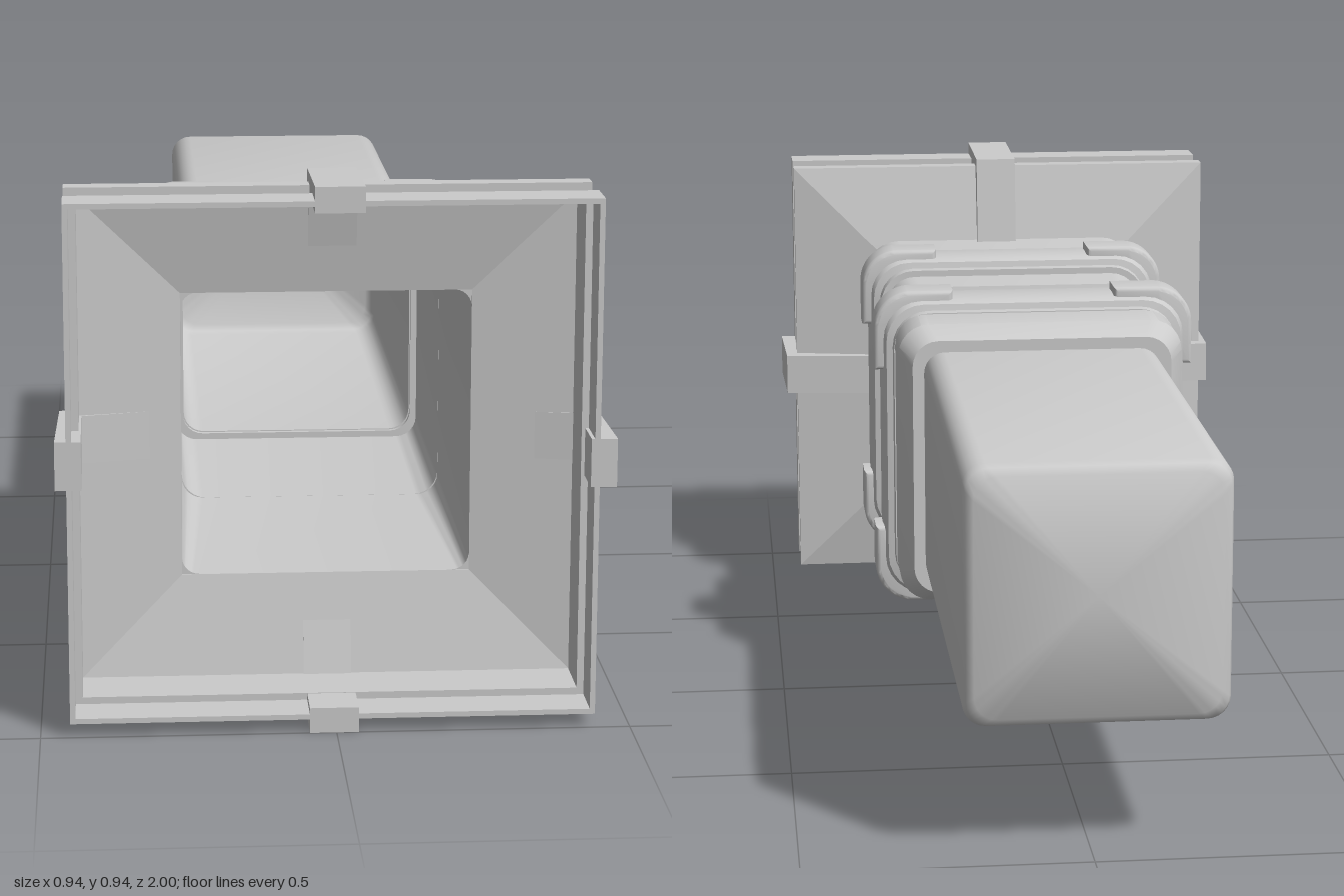
import * as THREE from 'three';
import { toCreasedNormals } from 'three/addons/utils/BufferGeometryUtils.js';

const material = new THREE.MeshStandardMaterial({ color: 0xcccccc, side: THREE.DoubleSide });
const CENTRE_X = -0.005, CENTRE_Y = 0.471;

// Rounded square outline of half width h and corner radius r, anticlockwise
function ring(h, r, steps) {
  const pts = [];
  for (let q = 0; q < 4; q++) {
    const mid = Math.PI / 4 + q * Math.PI / 2;
    const cx = Math.sign(Math.cos(mid)) * (h - r), cy = Math.sign(Math.sin(mid)) * (h - r);
    for (let s = 0; s <= steps; s++) {
      const a = (q + (steps ? s / steps : 0.5)) * Math.PI / 2;
      pts.push(steps ? [cx + r * Math.cos(a), cy + r * Math.sin(a)] : [cx, cy]);
    }
  }
  return pts;
}

// Skin over square stations [half width, z, corner radius]
function loft(name, stations, steps = 6, crease = 0.6) {
  const pos = [], index = [];
  for (const [h, z, r = 0] of stations) for (const [x, y] of ring(h, r, steps)) pos.push(x, y, z);
  const n = 4 * (steps + 1);
  for (let i = 0; i < stations.length - 1; i++) {
    for (let j = 0; j < n; j++) {
      const k = (j + 1) % n, a = i * n + j, b = i * n + k, c = a + n, d = b + n;
      if (stations[i][0] > 0) index.push(a, c, b);
      if (stations[i + 1][0] > 0) index.push(b, c, d);
    }
  }
  const geo = new THREE.BufferGeometry();
  geo.setAttribute('position', new THREE.Float32BufferAttribute(pos, 3));
  geo.setIndex(index);
  const mesh = new THREE.Mesh(toCreasedNormals(geo.toNonIndexed(), crease), material);
  mesh.name = name;
  return mesh;
}

// L-shaped corner clip, bevelled, centred on z = 0
function cornerClipGeometry() {
  const out = 0.306, inn = 0.27, start = 0.168, r = 0.065, depth = 0.06;
  const s = new THREE.Shape();
  s.moveTo(out, start);
  s.lineTo(out, out - r);
  s.absarc(out - r, out - r, r, 0, Math.PI / 2, false);
  s.lineTo(start, out);
  s.lineTo(start, inn);
  s.lineTo(inn - 0.03, inn);
  s.lineTo(inn, inn - 0.03);
  s.lineTo(inn, start);
  const geo = new THREE.ExtrudeGeometry(s, {
    depth, bevelEnabled: true, bevelSize: 0.009, bevelThickness: 0.012, bevelSegments: 3, curveSegments: 8,
  });
  geo.translate(0, 0, -depth / 2);
  return toCreasedNormals(geo, 0.7);
}

// Bent bracket that hooks over the frame and runs down its back
function bracketGeometry() {
  const width = 0.083;
  const s = new THREE.Shape([
    [1, 0.425], [1, 0.469], [0.787, 0.463], [0.765, 0.285],
    [0.79, 0.265], [0.826, 0.425],
  ].map(([z, r]) => new THREE.Vector2(z, r)));
  const geo = new THREE.ExtrudeGeometry(s, { depth: width, bevelEnabled: false });
  geo.translate(0, 0, -width / 2);
  geo.rotateY(-Math.PI / 2);
  return geo;
}

export function createModel() {
  const model = new THREE.Group();
  model.name = 'squareDuct';
  const body = new THREE.Group();
  body.name = 'body';
  body.position.set(CENTRE_X, CENTRE_Y, 0);
  model.add(body);

  // Square mounting frame with a groove round its rim and a sloping back
  body.add(loft('frame', [
    [0.25, 0.76], [0.25, 0.79], [0.424, 0.822], [0.424, 0.925], [0.436, 0.925], [0.436, 1],
    [0.445, 1], [0.445, 0.925], [0.428, 0.925], [0.428, 0.85], [0.445, 0.85],
    [0.445, 0.815], [0.28, 0.782],
  ], 0, 0.1));

  // Tapering neck and its inner wall
  body.add(loft('neck', [
    [0.25, 0.788, 0.03], [0.288, 0.788, 0.065], [0.252, 0.33, 0.055],
  ]));
  body.add(loft('neckLining', [
    [0.228, -0.09, 0.04], [0.24, -0.09, 0.04], [0.24, 0.33, 0.04], [0.25, 0.788, 0.02],
  ]));

  // Collar between neck and tube
  body.add(loft('collar', [
    [0.24, 0.338, 0.045], [0.262, 0.338, 0.05], [0.275, 0.315, 0.06], [0.275, -0.06, 0.06],
    [0.25, -0.1, 0.05], [0.226, -0.1, 0.04],
  ]));

  // Long closed tube
  body.add(loft('tube', [
    [0.228, -0.09, 0.04], [0.228, -0.975, 0.04], [0.223, -0.99, 0.04], [0.21, -1, 0.04], [0, -1, 0],
  ], 6, 1.3));

  // Two rounded bands, each held by four corner clips
  const clipGeo = cornerClipGeometry();
  for (const [i, z] of [0.557, 0.107].entries()) {
    const band = new THREE.Group();
    band.name = i ? 'rearBand' : 'frontBand';
    band.position.z = z;
    band.add(loft('strap', [
      [0.262, 0.07, 0.06], [0.286, 0.07, 0.07], [0.295, 0.062, 0.075], [0.299, 0.045, 0.075],
      [0.3, 0, 0.075], [0.297, -0.04, 0.075], [0.291, -0.052, 0.075], [0.279, -0.055, 0.07],
      [0.277, -0.07, 0.07], [0.255, -0.07, 0.06],
    ]));
    for (let q = 0; q < 4; q++) {
      const clip = new THREE.Mesh(clipGeo, material);
      clip.name = 'cornerClip';
      clip.rotation.z = q * Math.PI / 2;
      band.add(clip);
    }
    body.add(band);
  }

  // Four brackets, one at the middle of each frame side
  const bracketGeo = bracketGeometry();
  for (let q = 0; q < 4; q++) {
    const holder = new THREE.Group();
    holder.name = 'bracketHolder';
    holder.position.set(0, CENTRE_Y, 0);
    holder.rotation.z = q * Math.PI / 2;
    const bracket = new THREE.Mesh(bracketGeo, material);
    bracket.name = 'bracket';
    bracket.position.x = 0.004;
    holder.add(bracket);
    model.add(holder);
  }
  return model;
}
